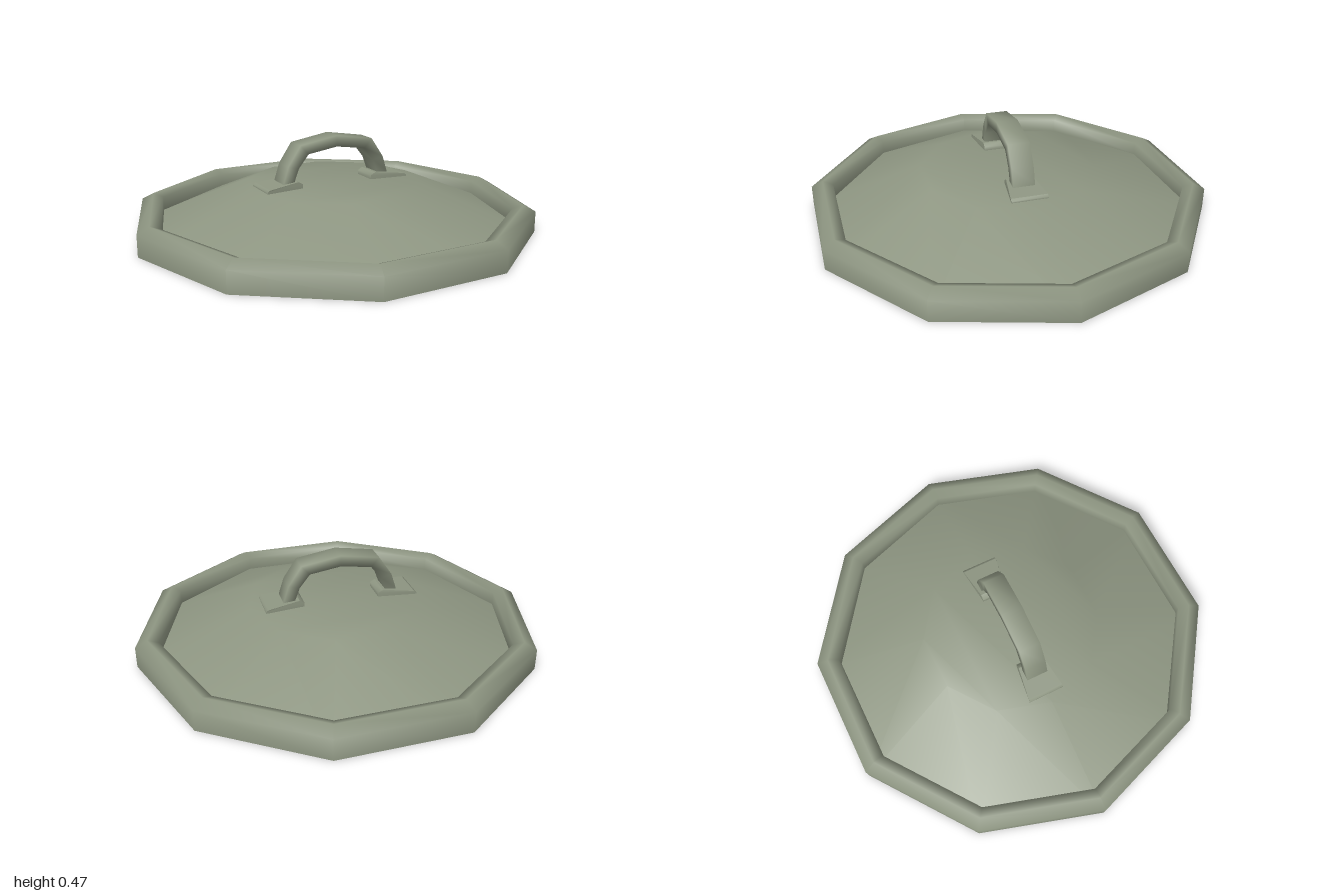
import * as THREE from 'three';

const SIDES = 10;
const TURN = THREE.MathUtils.degToRad(19.1);

export function createModel() {
  const group = new THREE.Group();
  // Double-sided, as the lid is a thin hollow shell
  const metal = new THREE.MeshStandardMaterial({ color: 0x8e9682, side: THREE.DoubleSide });
  metal.name = 'greyGreenMetal';

  const add = (name, geometry) => {
    const mesh = new THREE.Mesh(geometry, metal);
    mesh.name = name;
    group.add(mesh);
    return mesh;
  };

  // Ten-sided rim band, ending on the dome at its inner side
  const rimProfile = [[1, 0], [1, 0.103], [0.94, 0.135], [0.888, 0.115], [0.888, 0.046]];
  add('rim', new THREE.LatheGeometry(rimProfile.map(([r, y]) => new THREE.Vector2(r, y)), SIDES, TURN));

  // Truncated cone, open below
  add('dome', domeGeometry());

  // Arched strap handle
  add('handle', handleGeometry()).position.x = -0.008;

  // Tapered foot plates, wider and lower at the outer end
  for (const side of [1, -1]) {
    const foot = add(side > 0 ? 'leftFoot' : 'rightFoot', footGeometry());
    foot.position.x = -0.01;
    foot.rotation.y = side > 0 ? 0 : Math.PI;
  }
  return group;
}

// Indexed geometry with normals shared between neighbouring faces
function smoothGeometry(positions, index) {
  const geometry = new THREE.BufferGeometry();
  geometry.setAttribute('position', new THREE.Float32BufferAttribute(positions, 3));
  geometry.setIndex(index);
  geometry.computeVertexNormals();
  return geometry;
}

function domeGeometry() {
  const positions = [];
  const index = [];
  for (const [r, y] of [[1, 0], [0.44, 0.23]]) {
    for (let i = 0; i < SIDES; i++) {
      const a = TURN + (i / SIDES) * Math.PI * 2;
      positions.push(r * Math.sin(a), y, r * Math.cos(a));
    }
  }
  for (let i = 0; i < SIDES; i++) {
    const k = (i + 1) % SIDES;
    index.push(i, k, SIDES + i, k, SIDES + k, SIDES + i);
  }
  // Flat top, joined in strips across the polygon
  for (let lo = 0, hi = SIDES - 1; lo + 1 < hi; lo++, hi--) {
    index.push(SIDES + lo, SIDES + lo + 1, SIDES + hi);
    if (lo + 1 < hi - 1) index.push(SIDES + lo + 1, SIDES + hi - 1, SIDES + hi);
  }
  return smoothGeometry(positions, index);
}

function handleGeometry() {
  // Half of the strap, from the foot to the crown: outer x, y, inner x, y
  const half = [
    [-0.293, 0.235, -0.236, 0.235],
    [-0.288, 0.262, -0.234, 0.255],
    [-0.263, 0.34, -0.208, 0.325],
    [-0.197, 0.438, -0.155, 0.392]
  ];
  const mirrored = half.map(([ox, oy, ix, iy]) => [-ox, oy, -ix, iy]).reverse();
  const sections = [...half, [0, 0.47, 0, 0.415], ...mirrored];
  const positions = [];
  const index = [];
  const w = 0.054;
  sections.forEach(([ox, oy, ix, iy], i) => {
    positions.push(ox, oy, -w, ox, oy, w, ix, iy, w, ix, iy, -w);
    if (i === sections.length - 1) return;
    for (let j = 0; j < 4; j++) {
      const a = i * 4 + j;
      const b = i * 4 + (j + 1) % 4;
      index.push(a, b, a + 4, b, b + 4, a + 4);
    }
  });
  return smoothGeometry(positions, index);
}

function footGeometry() {
  const geometry = new THREE.BoxGeometry(1, 1, 1, 1, 2, 1);
  const pos = geometry.attributes.position;
  for (let i = 0; i < pos.count; i++) {
    const outer = pos.getX(i) > 0;
    const level = Math.round(pos.getY(i) * 2) + 1;
    const inset = [0, 0, 0.012][level];
    const height = outer ? [0.23, 0.238, 0.247] : [0.23, 0.25, 0.264];
    pos.setXYZ(
      i,
      outer ? 0.385 - inset : 0.19 + inset * 2,
      height[level],
      Math.sign(pos.getZ(i)) * (outer ? 0.09 : 0.066)
    );
  }
  geometry.computeVertexNormals();
  return geometry;
}
